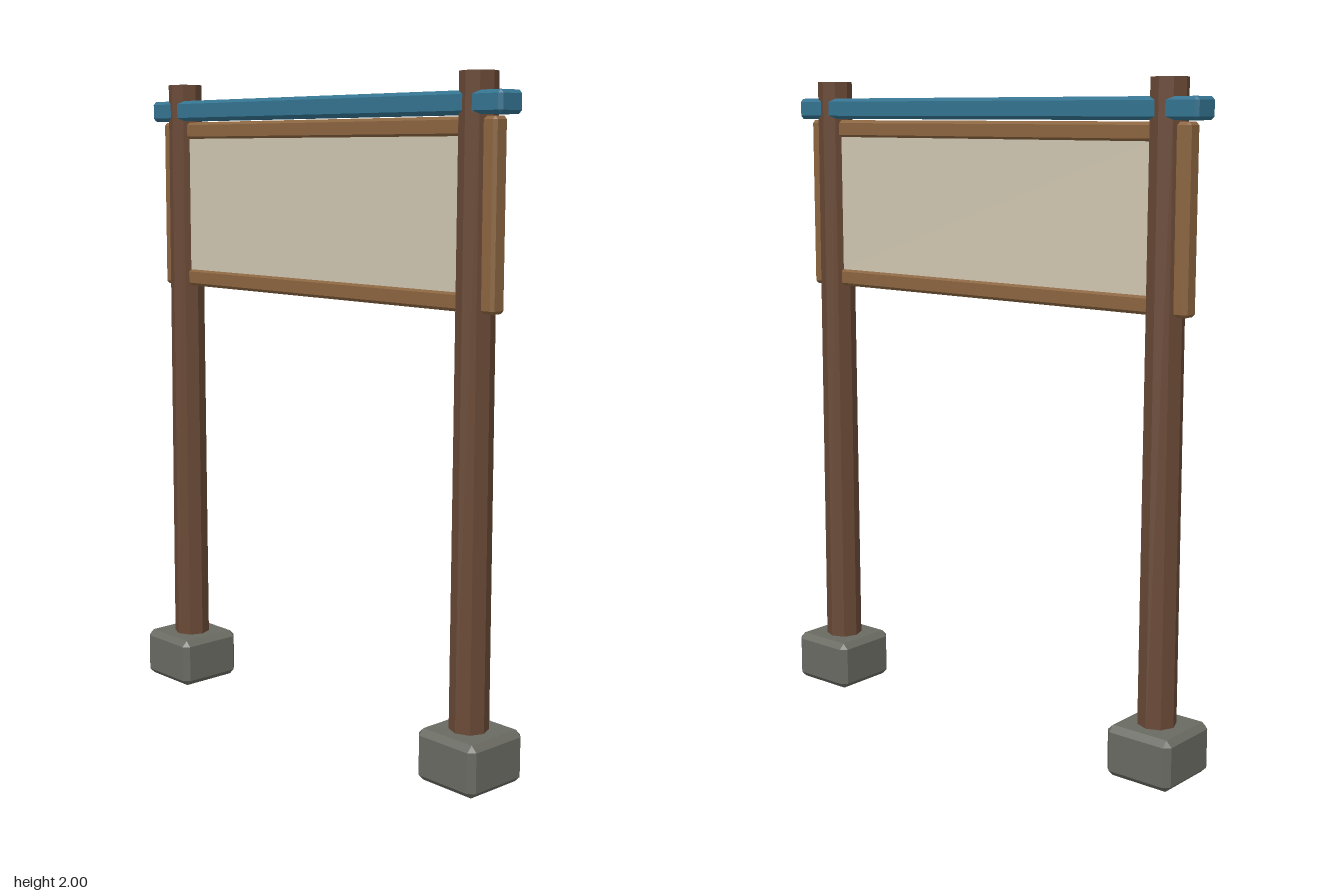
import * as THREE from 'three';
import { ConvexGeometry } from 'three/addons/geometries/ConvexGeometry.js';

const material = (name, color) => {
  const m = new THREE.MeshStandardMaterial({ color, flatShading: true });
  m.name = name;
  return m;
};

// Box with every edge cut at 45 degrees by c
function chamferedBox(w, h, d, c) {
  const points = [];
  for (const x of [-1, 1]) for (const y of [-1, 1]) for (const z of [-1, 1]) {
    const X = x * w / 2, Y = y * h / 2, Z = z * d / 2;
    points.push(
      new THREE.Vector3(X, Y - y * c, Z - z * c),
      new THREE.Vector3(X - x * c, Y, Z - z * c),
      new THREE.Vector3(X - x * c, Y - y * c, Z));
  }
  return new ConvexGeometry(points);
}

export function createModel() {
  const darkWood = material('darkWood', 0x694936);
  const frameWood = material('frameWood', 0x8b6540);
  const board = material('boardCream', 0xd0c6b0);
  const bluePaint = material('bluePaint', 0x347390);
  const stone = material('stoneGrey', 0x696a62);

  const model = new THREE.Group();
  model.name = 'noticeBoard';
  const add = (name, geometry, mat, x, y, z = 0) => {
    const mesh = new THREE.Mesh(geometry, mat);
    mesh.name = name;
    mesh.position.set(x, y, z);
    model.add(mesh);
  };

  // Footings, tapered octagonal posts and end stiles, mirrored
  for (const [side, s] of [['left', 1], ['right', -1]]) {
    add(side + 'Footing', chamferedBox(0.222, 0.155, 0.222, 0.018), stone, s * 0.648, 0.0775);
    add(side + 'Post', new THREE.CylinderGeometry(0.054, 0.058, 1.92, 8), darkWood, s * 0.645, 1.04);
    add(side + 'Stile', chamferedBox(0.055, 0.53, 0.054, 0.009), frameWood, s * 0.7025, 1.615);
  }

  // Board and its horizontal rails
  add('boardPanel', new THREE.BoxGeometry(1.36, 0.48, 0.04), board, 0, 1.615);
  add('topRail', chamferedBox(1.4, 0.055, 0.054, 0.009), frameWood, 0, 1.8525);
  add('bottomRail', chamferedBox(1.4, 0.055, 0.054, 0.009), frameWood, 0, 1.3775);

  // Painted beam through both posts
  add('capBeam', chamferedBox(1.53, 0.064, 0.094, 0.01), bluePaint, 0, 1.916);

  return model;
}
